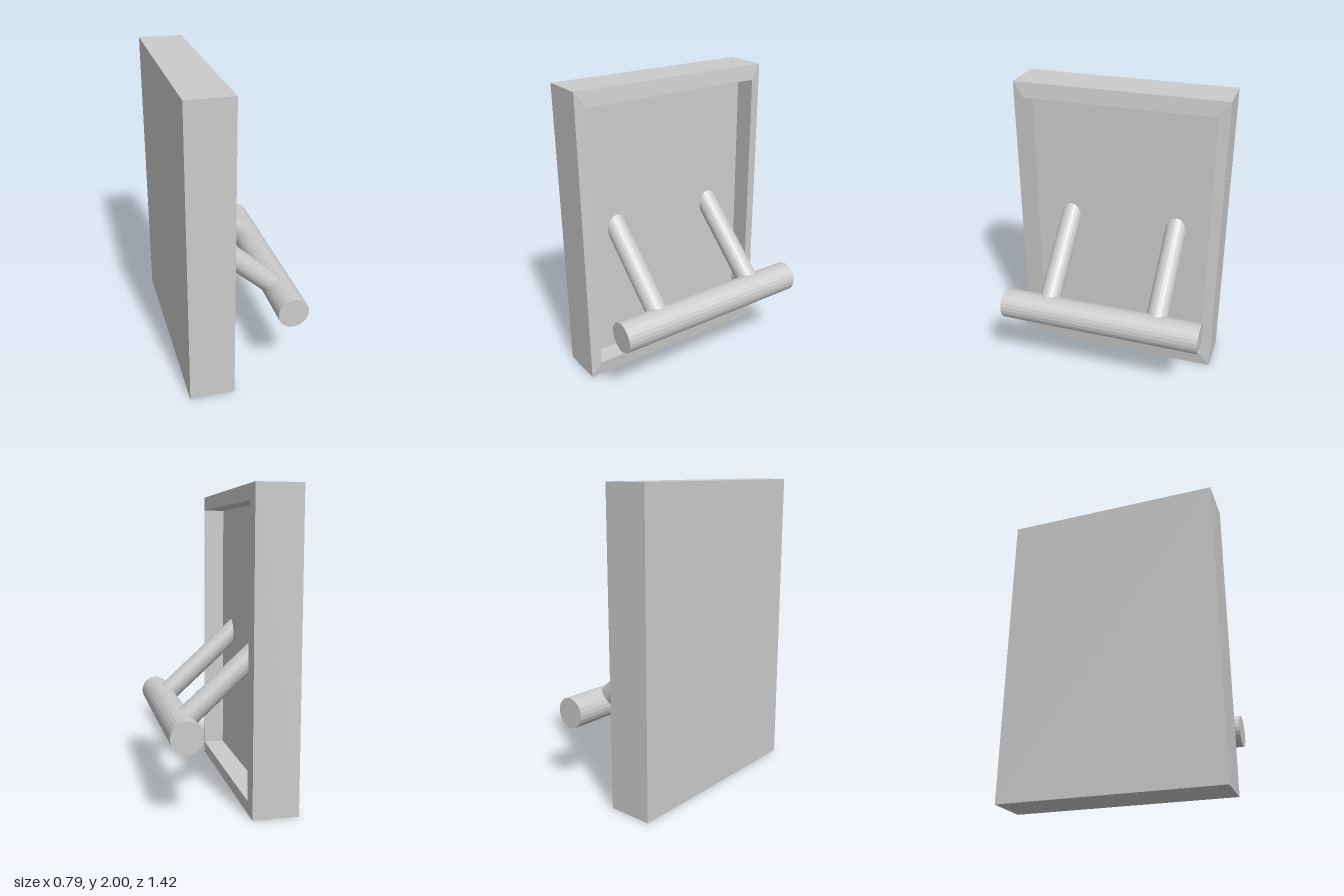
import * as THREE from 'three';

const material = new THREE.MeshStandardMaterial({ color: 0xcccccc, flatShading: true });

// Rectangular cross-section at x, corners counter-clockwise seen from +x
function rectLoop(x, inset) {
  const y0 = inset, y1 = 2 - inset, z = 0.71 - inset * 0.7;
  return [[x, y0, z], [x, y0, -z], [x, y1, -z], [x, y1, z]];
}

// Skin a series of four-cornered loops and close both ends
function skinLoops(loops) {
  const pos = [];
  const quad = (a, b, c, d) => pos.push(...a, ...b, ...c, ...a, ...c, ...d);
  quad(...[...loops[0]].reverse());
  for (let k = 0; k + 1 < loops.length; k++) {
    for (let i = 0; i < 4; i++) {
      const j = (i + 1) % 4;
      quad(loops[k][i], loops[k][j], loops[k + 1][j], loops[k + 1][i]);
    }
  }
  quad(...loops[loops.length - 1]);
  const geometry = new THREE.BufferGeometry();
  geometry.setAttribute('position', new THREE.Float32BufferAttribute(pos, 3));
  geometry.computeVertexNormals();
  return geometry;
}

// Round rod between two points
function rod(name, from, to, radius) {
  const dir = to.clone().sub(from);
  const mesh = new THREE.Mesh(new THREE.CylinderGeometry(radius, radius, dir.length(), 24), material);
  mesh.position.copy(from).add(to).multiplyScalar(0.5);
  mesh.quaternion.setFromUnitVectors(new THREE.Vector3(0, 1, 0), dir.normalize());
  mesh.name = name;
  return mesh;
}

export function createModel() {
  const group = new THREE.Group();
  group.name = 'panelWithHandle';

  // Tray-like panel: back, front edge, bevelled rim, recessed floor
  const panel = new THREE.Mesh(skinLoops([
    rectLoop(-0.395, 0),
    rectLoop(-0.1, 0),
    rectLoop(-0.087, 0.1),
    rectLoop(-0.233, 0.1),
  ]), material);
  panel.name = 'recessedPanel';
  group.add(panel);

  // Horizontal grip bar
  const barX = 0.293, barY = 0.53;
  group.add(rod('gripBar', new THREE.Vector3(barX, barY, 0.69), new THREE.Vector3(barX, barY, -0.69), 0.102));

  // Two slanted arms from the panel floor to the bar
  for (const side of [-1, 1]) {
    const z = side * 0.383;
    group.add(rod(side < 0 ? 'rearArm' : 'frontArm',
      new THREE.Vector3(-0.31, 1.076, z), new THREE.Vector3(barX, barY, z), 0.072));
  }
  return group;
}
